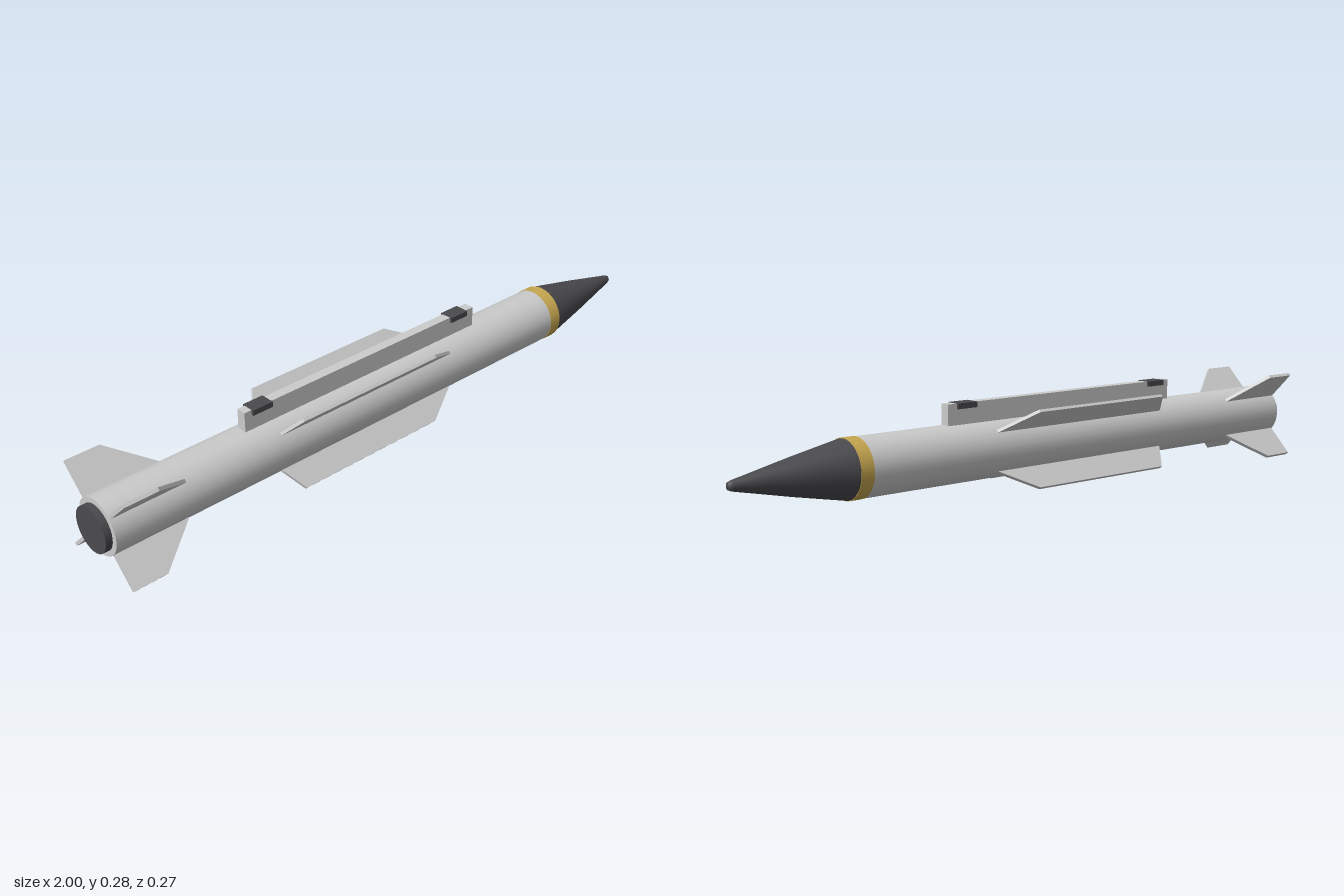
import * as THREE from 'three';

const AXIS_Y = 0.136, R = 0.082, SIDES = 32;
const grey = new THREE.MeshStandardMaterial({ color: 0xcccccc });
const dark = new THREE.MeshStandardMaterial({ color: 0x4a4a4e });
const gold = new THREE.MeshStandardMaterial({ color: 0xc8a850 });

function add(parent, name, geometry, material) {
  const mesh = new THREE.Mesh(geometry, material);
  mesh.name = name;
  parent.add(mesh);
  return mesh;
}

// Cylinder lying along x between x0 and x1
function tube(x0, x1, radius) {
  return new THREE.CylinderGeometry(radius, radius, x1 - x0, SIDES)
    .rotateZ(-Math.PI / 2).translate((x0 + x1) / 2, 0, 0);
}

// Four flat plates in an X; outline is [x, radius] pairs
function fins(parent, name, outline, thickness) {
  const shape = new THREE.Shape(outline.map(([x, r]) => new THREE.Vector2(x, r)));
  const geometry = new THREE.ExtrudeGeometry(shape, { depth: thickness, bevelEnabled: false })
    .translate(0, 0, -thickness / 2);
  const set = new THREE.Group();
  set.name = name + 's';
  for (let i = 0; i < 4; i++) {
    add(set, name, geometry, grey).rotation.x = Math.PI / 4 + i * Math.PI / 2;
  }
  parent.add(set);
}

export function createModel() {
  const model = new THREE.Group();
  model.name = 'missile';

  // Round parts share the long axis
  const airframe = new THREE.Group();
  airframe.name = 'airframe';
  airframe.position.y = AXIS_Y;
  model.add(airframe);

  add(airframe, 'body', tube(-0.98, 0.63, R), grey);
  add(airframe, 'band', tube(0.627, 0.667, R + 0.001), gold);
  add(airframe, 'nozzle', tube(-1, -0.97, 0.066), dark);

  // Nose cone with a small blunt tip
  const profile = [[R, 0.665], [0.051, 0.82], [0.014, 0.99], [0.01, 1], [0, 1]]
    .map(([r, x]) => new THREE.Vector2(r, x));
  add(airframe, 'noseCone', new THREE.LatheGeometry(profile, SIDES).rotateZ(-Math.PI / 2), dark);

  // Mid wings and tail fins
  fins(airframe, 'wing', [[-0.44, 0.07], [0.215, 0.07], [0.2, 0.082], [0.09, 0.155], [-0.4, 0.155], [-0.44, 0.085]], 0.009);
  fins(airframe, 'tailFin', [[-0.977, 0.07], [-0.73, 0.07], [-0.75, 0.082], [-0.875, 0.185], [-0.977, 0.185]], 0.01);

  // Launch rail with two lugs
  add(model, 'rail', new THREE.BoxGeometry(0.86, 0.07, 0.03).translate(-0.092, 0.241, 0), grey);
  for (const x of [-0.465, 0.275]) {
    add(model, 'railLug', new THREE.BoxGeometry(0.066, 0.016, 0.044).translate(x, 0.269, 0), dark);
  }
  return model;
}
